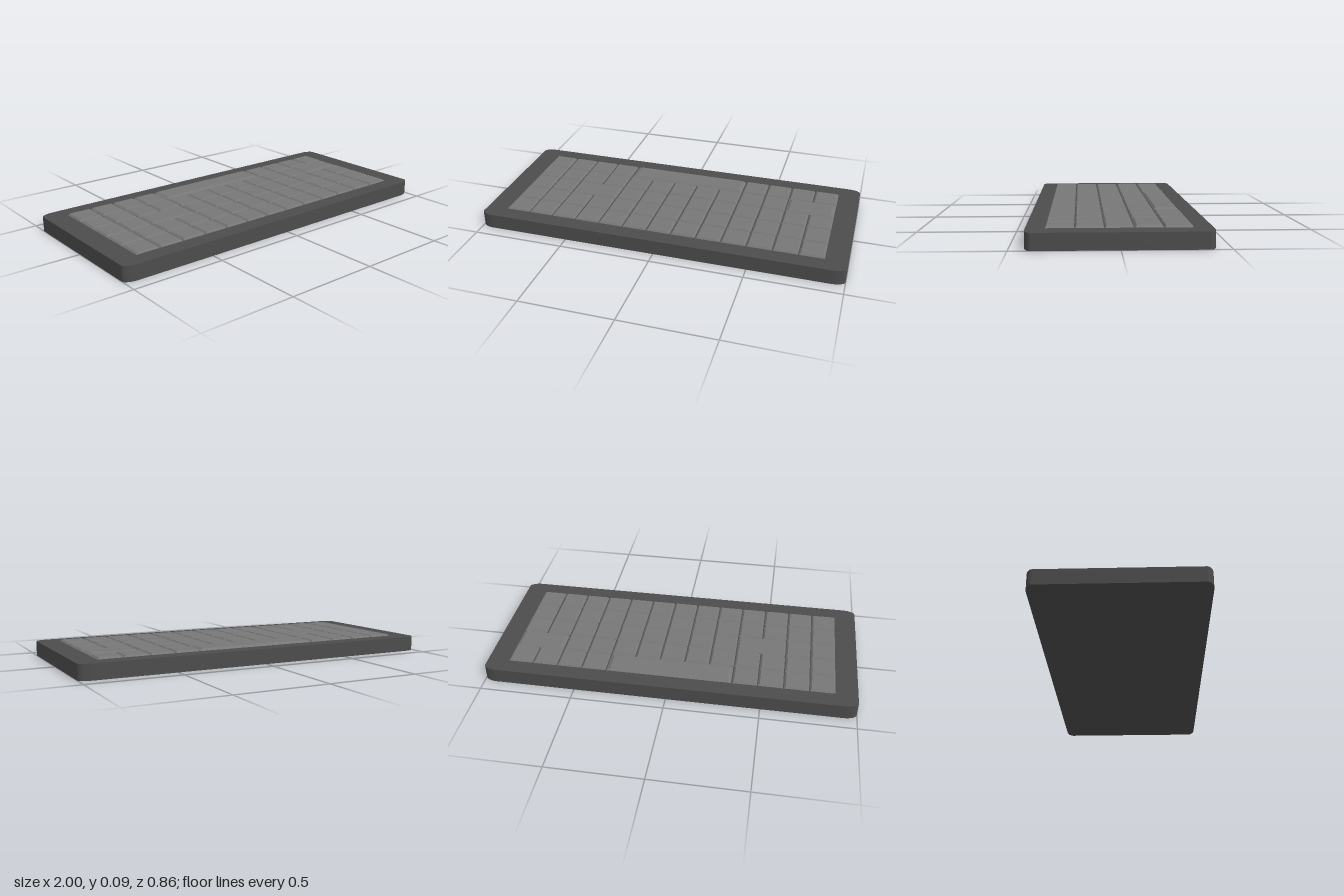
import * as THREE from 'three';
import { toCreasedNormals } from 'three/addons/utils/BufferGeometryUtils.js';

const HALF_W = 1, HALF_D = 0.43, BODY_H = 0.081;
const COLS = 13, ROWS = 5, GRID_W = 1.77, GRID_D = 0.684;
const PITCH_X = GRID_W / COLS, PITCH_Z = GRID_D / ROWS;

// Rounded slab: elliptical corners, extruded upwards
function caseGeometry() {
  const rx = 0.07, rz = 0.035, shape = new THREE.Shape();
  const corners = [[1, 1], [-1, 1], [-1, -1], [1, -1]];
  corners.forEach(([sx, sz], i) => {
    shape.absellipse(sx * (HALF_W - rx), sz * (HALF_D - rz), rx, rz,
      i * Math.PI / 2, (i + 1) * Math.PI / 2, false, 0);
  });
  const geo = new THREE.ExtrudeGeometry(shape, { depth: BODY_H, bevelEnabled: false, curveSegments: 8 });
  geo.rotateX(-Math.PI / 2);
  return toCreasedNormals(geo, 0.6);
}

// Keycap: box whose upper face is drawn in to give sloping sides
function keyGeometry(width, depth, height, insetX, insetZ) {
  const geo = new THREE.BoxGeometry(width, height, depth).toNonIndexed();
  const p = geo.attributes.position;
  for (let i = 0; i < p.count; i++) {
    if (p.getY(i) < 0) continue;
    p.setX(i, p.getX(i) - Math.sign(p.getX(i)) * insetX);
    p.setZ(i, p.getZ(i) - Math.sign(p.getZ(i)) * insetZ);
  }
  geo.translate(0, height / 2, 0);
  geo.computeVertexNormals();
  return geo;
}

export function createModel() {
  const model = new THREE.Group();
  model.name = 'keyboard';
  const caseMat = new THREE.MeshStandardMaterial({ color: 0x4c4c4c });
  const keyMat = new THREE.MeshStandardMaterial({ color: 0x777777 });

  const body = new THREE.Mesh(caseGeometry(), caseMat);
  body.name = 'case';
  model.add(body);

  // Wide keys, by row (from the back) and first column
  const wide = {
    '0,4': { span: 5, top: 0.094, insetX: 0.022, insetZ: 0.012, name: 'spaceBar' },
    '1,11': { span: 2, top: 0.092, insetX: 0.02, insetZ: 0.01, name: 'wideKey' },
    '2,2': { span: 2, top: 0.09, insetX: 0.012, insetZ: 0.008, name: 'wideKey' },
  };
  const single = { span: 1, top: 0.09, insetX: 0.01, insetZ: 0.007, name: 'key' };

  const keys = new THREE.Group();
  keys.name = 'keys';
  const gap = 0.003, base = BODY_H - 0.001;
  for (let row = 0; row < ROWS; row++) {
    for (let col = 0; col < COLS;) {
      const k = wide[`${row},${col}`] || single;
      const key = new THREE.Mesh(
        keyGeometry(k.span * PITCH_X - gap, PITCH_Z - gap, k.top - base, k.insetX, k.insetZ), keyMat);
      key.position.set(
        -GRID_W / 2 + (col + k.span / 2) * PITCH_X, base, -GRID_D / 2 + (row + 0.5) * PITCH_Z);
      key.name = k.name;
      keys.add(key);
      col += k.span;
    }
  }
  model.add(keys);
  return model;
}
